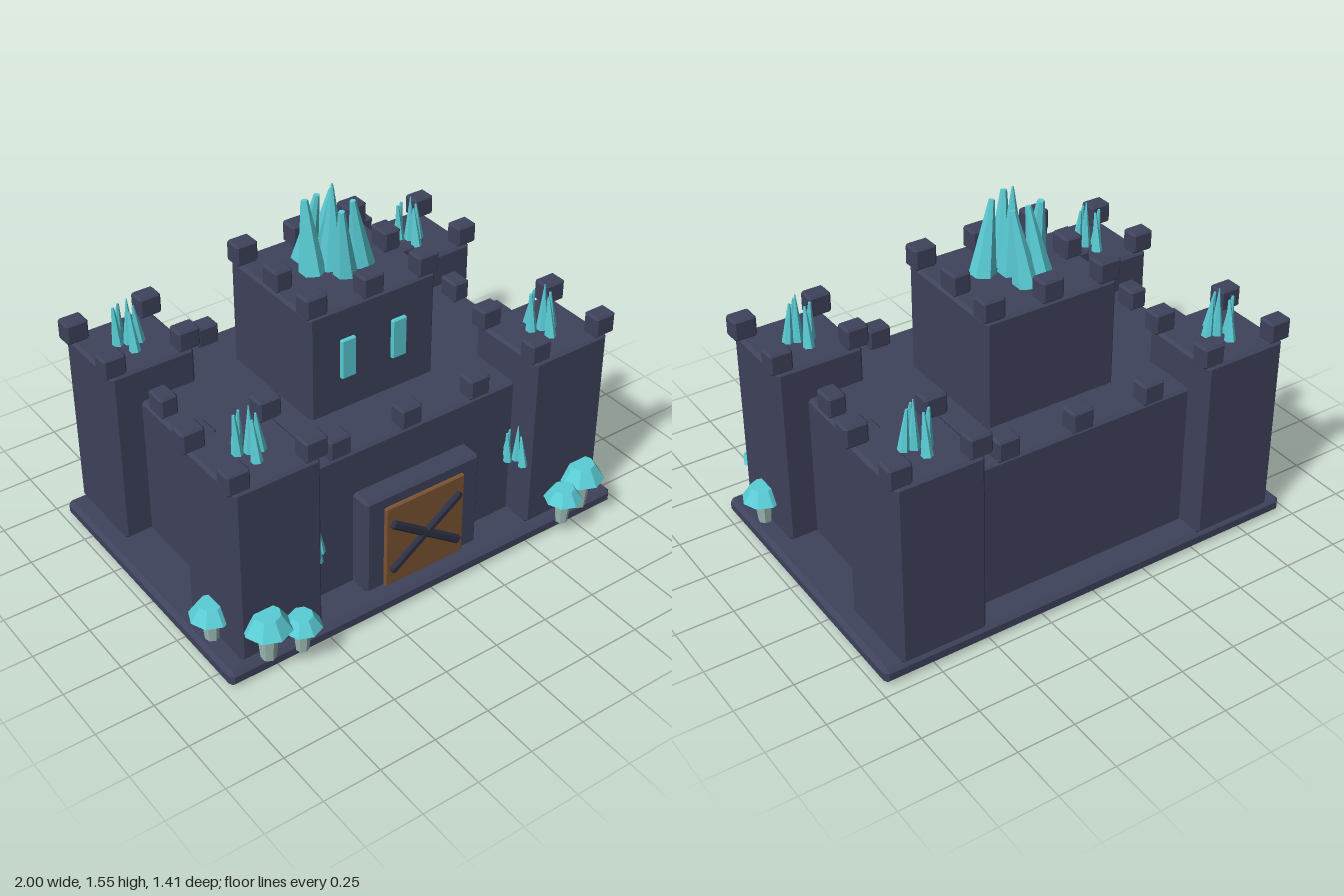
import * as THREE from 'three';
import { ConvexGeometry } from 'three/addons/geometries/ConvexGeometry.js';

const material = (name, color) => {
  const m = new THREE.MeshStandardMaterial({ color, flatShading: true });
  m.name = name;
  return m;
};

export function createModel() {
  const stone = material('slate stone', 0x3f435c);
  const iron = material('dark iron', 0x2e3145);
  const wood = material('door wood', 0x7d5433);
  const crystal = material('turquoise crystal', 0x5acdd6);
  const stalk = material('pale stalk', 0x9cbab2);
  const castle = new THREE.Group();
  castle.name = 'castle';

  const add = (parent, name, geometry, mat, x = 0, y = 0, z = 0) => {
    const mesh = new THREE.Mesh(geometry, mat);
    mesh.name = name;
    mesh.position.set(x, y, z);
    parent.add(mesh);
    return mesh;
  };

  // Box with every edge chamfered by b
  const chamferBox = (w, h, d, b) => {
    const points = [];
    for (const sx of [-1, 1]) for (const sy of [-1, 1]) for (const sz of [-1, 1])
      for (let axis = 0; axis < 3; axis++) {
        const half = [w / 2, h / 2, d / 2].map((v, i) => (i === axis ? v : v - b));
        points.push(new THREE.Vector3(sx * half[0], sy * half[1], sz * half[2]));
      }
    return new ConvexGeometry(points);
  };

  // Chamfered block given by its limits on each axis
  const block = (name, [x0, x1], [y0, y1], [z0, z1], b = 0.012) =>
    add(castle, name, chamferBox(x1 - x0, y1 - y0, z1 - z0, b), stone,
      (x0 + x1) / 2, (y0 + y1) / 2, (z0 + z1) / 2);

  const merlonGeometry = chamferBox(0.1, 0.094, 0.08, 0.009);
  const merlon = (x, y, z, turned = false) => {
    const mesh = add(castle, 'merlon', merlonGeometry, stone, x, y + 0.045, z);
    if (turned) mesh.rotation.y = Math.PI / 2;
  };

  // Blunt crystal spike from base to tip
  const spike = (parent, base, tip, r, rTop) => {
    const a = new THREE.Vector3(...base), b = new THREE.Vector3(...tip);
    const dir = b.clone().sub(a);
    const mesh = add(parent, 'crystalSpike', new THREE.CylinderGeometry(rTop, r, dir.length(), 6), crystal);
    mesh.position.copy(a).add(b).multiplyScalar(0.5);
    mesh.quaternion.setFromUnitVectors(new THREE.Vector3(0, 1, 0), dir.normalize());
  };

  const cluster = (name, spikes, x, y, z, scale = 1) => {
    const group = new THREE.Group();
    group.name = name;
    group.position.set(x, y, z);
    group.scale.setScalar(scale);
    spikes.forEach((s) => spike(group, ...s));
    castle.add(group);
  };

  // Base, main hall and keep
  block('base', [-0.97, 0.97], [0, 0.07], [-0.7, 0.6], 0.018);
  block('mainHall', [-0.77, 0.77], [0.06, 0.72], [-0.58, 0.43]);
  block('keep', [-0.3, 0.3], [0.7, 1.19], [-0.375, 0.175]);

  for (const x of [-0.34, 0, 0.34]) for (const z of [-0.55, 0.395]) merlon(x, 0.72, z);
  for (const x of [-0.73, 0.73]) for (const z of [-0.22, 0.065]) merlon(x, 0.72, z, true);
  for (const x of [-0.265, 0, 0.265]) for (const z of [-0.34, 0.14]) merlon(x, 1.19, z);
  for (const x of [-0.26, 0.26]) merlon(x, 1.19, -0.1, true);

  // Keep windows
  for (const x of [-0.125, 0.12])
    add(castle, 'keepWindow', chamferBox(0.07, 0.18, 0.03, 0.005), crystal, x, 0.957, 0.175);

  // Gate with wooden door and crossed bars
  block('gateFrame', [-0.28, 0.28], [0.06, 0.517], [0.4, 0.52]);
  add(castle, 'door', chamferBox(0.39, 0.4, 0.05, 0.005), wood, 0, 0.262, 0.51);
  for (const side of [-1, 1]) {
    const bar = add(castle, 'doorBar', chamferBox(0.42, 0.036, 0.026, 0.008), iron, 0, 0.262, 0.54);
    bar.rotation.z = side * 0.62;
  }

  // Corner towers, each topped with merlons and crystals
  const smallSpikes = [
    [[0, 0, 0], [0, 0.21, 0], 0.026, 0.002],
    [[-0.045, 0, -0.015], [-0.05, 0.17, -0.025], 0.024, 0.006],
    [[0.04, 0, 0.01], [0.022, 0.17, 0.01], 0.024, 0.005],
    [[-0.012, 0, 0.065], [-0.012, 0.17, 0.038], 0.024, 0.005],
    [[-0.012, 0, -0.07], [-0.018, 0.17, -0.042], 0.024, 0.005],
  ];
  for (const x of [-0.705, 0.705]) for (const z of [-0.512, 0.372]) {
    block('tower', [x - 0.188, x + 0.188], [0.065, 0.876], [z - 0.187, z + 0.187]);
    for (const dx of [-0.168, 0.168]) for (const dz of [-0.152, 0.152]) merlon(x + dx, 0.88, z + dz);
    cluster('towerCrystals', smallSpikes, x, 0.875, z);
  }

  // Crystals in the corners beside the front towers
  for (const x of [-0.51, 0.51]) cluster('wallCrystals', smallSpikes, x, 0.365, 0.485, 0.8);

  // Large crystals on the keep
  cluster('keepCrystals', [
    [[0, 0, 0], [0, 0.37, 0], 0.06, 0.004],
    [[0.105, 0, 0.05], [0.055, 0.305, 0.06], 0.055, 0.012],
    [[0.005, 0, 0.08], [-0.03, 0.305, 0.105], 0.05, 0.013],
    [[-0.09, 0, -0.01], [-0.095, 0.305, -0.05], 0.055, 0.015],
    [[0.01, 0, -0.11], [0.04, 0.305, -0.06], 0.055, 0.012],
    [[-0.055, 0, -0.115], [-0.03, 0.305, -0.06], 0.055, 0.012],
  ], 0, 1.185, -0.1);

  // Mushrooms: x, z, cap radius, cap bottom, cap top
  const mushrooms = [
    [0.79, 0.585, 0.1, 0.212, 0.28],
    [0.66, 0.625, 0.082, 0.182, 0.236],
    [0.912, 0.375, 0.09, 0.185, 0.245],
  ];
  for (const side of [-1, 1]) for (const [x, z, r, y0, y1] of mushrooms) {
    const group = new THREE.Group();
    group.name = 'mushroom';
    group.position.set(side * x, 0, z);
    add(group, 'stalk', new THREE.CylinderGeometry(r * 0.46, r * 0.32, y0 - 0.06, 7), stalk, 0, (y0 + 0.06) / 2 + 0.002, 0);
    add(group, 'cap', new THREE.CylinderGeometry(r * 0.55, r, y1 - y0, 8), crystal, 0, (y0 + y1) / 2, 0);
    castle.add(group);
  }

  return castle;
}
